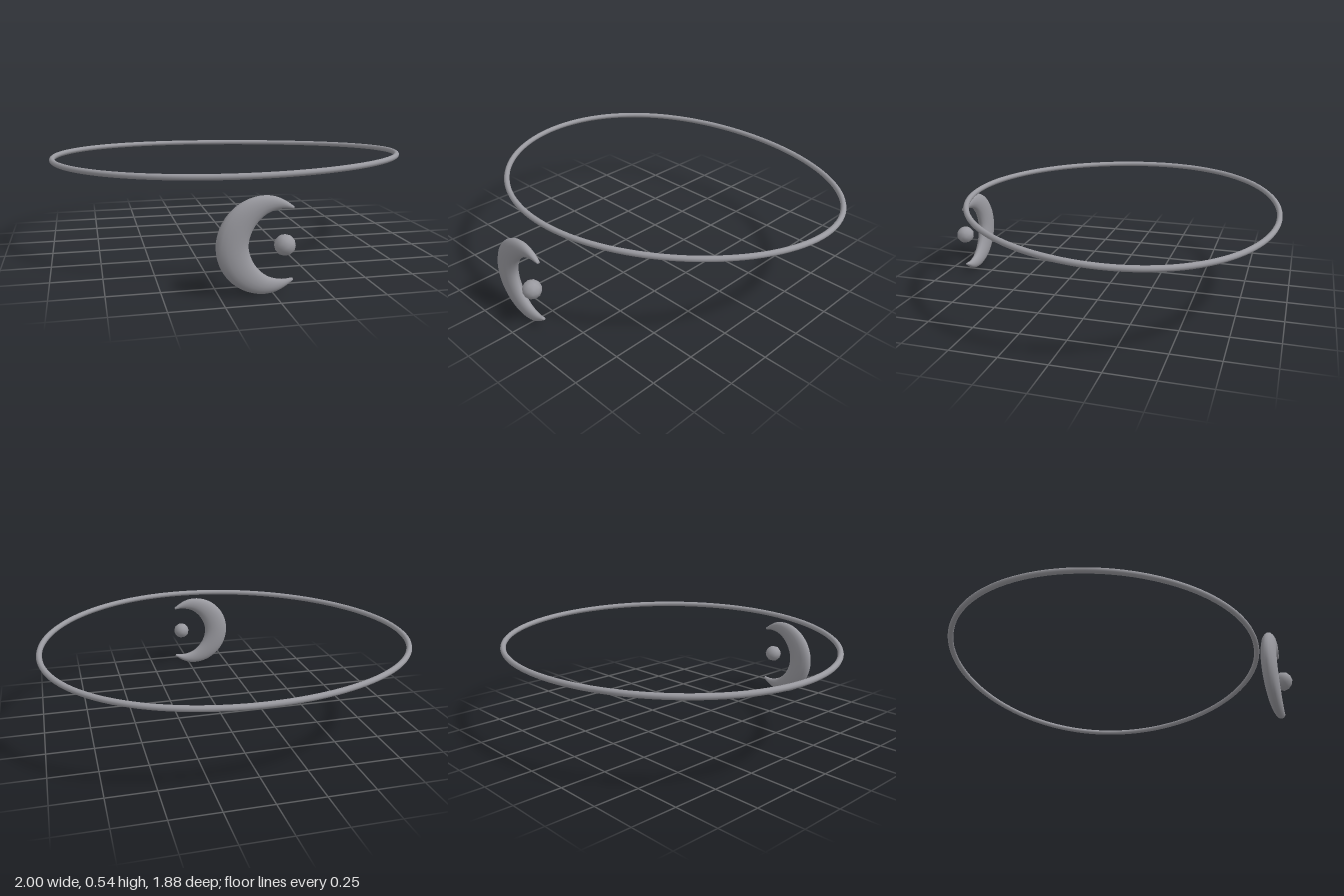
import * as THREE from 'three';

const V = (x, y, z) => new THREE.Vector3(x, y, z);

// Crescent lofted from elliptical sections between its outer and inner edges
function crescentGeometry(cx, cy, cz) {
  const half = [[0.09, 0.161], [0.04, 0.164], [-0.03, 0.144], [-0.09, 0.084]];
  const inner = new THREE.CatmullRomCurve3([
    ...half.map(([x, y]) => V(x, cy + y, cz)),
    V(-0.116, cy, cz),
    ...half.slice().reverse().map(([x, y]) => V(x, cy - y, cz)),
  ]);
  const rings = 48, sides = 16, pos = [], idx = [];
  const start = THREE.MathUtils.degToRad(53);
  for (let i = 0; i <= rings; i++) {
    const t = i / rings;
    const a = start + t * (2 * Math.PI - 2 * start);
    const r = 0.23 - 0.014 * Math.pow(Math.cos(Math.PI * t), 24);
    const o = V(cx + r * Math.cos(a), cy + r * Math.sin(a), cz);
    const n = inner.getPointAt(t);
    const mid = o.clone().add(n).multiplyScalar(0.5);
    const arm = o.sub(n).multiplyScalar(0.5);
    const depth = 0.008 + 0.03 * Math.pow(Math.sin(Math.PI * t), 0.8);
    for (let j = 0; j < sides; j++) {
      const b = (j / sides) * 2 * Math.PI;
      pos.push(mid.x + arm.x * Math.cos(b), mid.y + arm.y * Math.cos(b), cz + depth * Math.sin(b));
    }
  }
  for (let i = 0; i < rings; i++) {
    for (let j = 0; j < sides; j++) {
      const k = (j + 1) % sides;
      const a = i * sides + j, b = i * sides + k, c = a + sides, d = b + sides;
      idx.push(a, c, b, b, c, d);
    }
  }
  // Close the two tips
  const last = rings * sides;
  for (let j = 1; j < sides - 1; j++) {
    idx.push(0, j, j + 1, last, last + j + 1, last + j);
  }
  const g = new THREE.BufferGeometry();
  g.setAttribute('position', new THREE.Float32BufferAttribute(pos, 3));
  g.setIndex(idx);
  g.computeVertexNormals();
  return g;
}

export function createModel() {
  const group = new THREE.Group();
  const silver = new THREE.MeshStandardMaterial({ color: 0x9a9aa0, side: THREE.DoubleSide });
  silver.name = 'silver';

  const add = (name, geometry) => {
    const mesh = new THREE.Mesh(geometry, silver);
    mesh.name = name;
    group.add(mesh);
    return mesh;
  };

  // Egg-shaped band, widest behind its middle, tilted and slightly twisted
  const path = [];
  for (let i = 0; i < 48; i++) {
    const a = (i / 48) * 2 * Math.PI;
    const s = Math.sin(a), c = Math.cos(a);
    path.push(V(0.985 * c, 0.498 + 0.031 * s + 0.016 * s * c, -0.083 + 0.842 * s - 0.063 * c * c));
  }
  add('band', new THREE.TubeGeometry(new THREE.CatmullRomCurve3(path, true), 128, 0.015, 10, true));

  // Moon pendant with a small bead in its opening
  add('crescent', crescentGeometry(-0.036, 0.231, 0.866));
  const bead = add('bead', new THREE.IcosahedronGeometry(0.05, 1));
  bead.position.set(0.046, 0.233, 0.888);

  return group;
}
